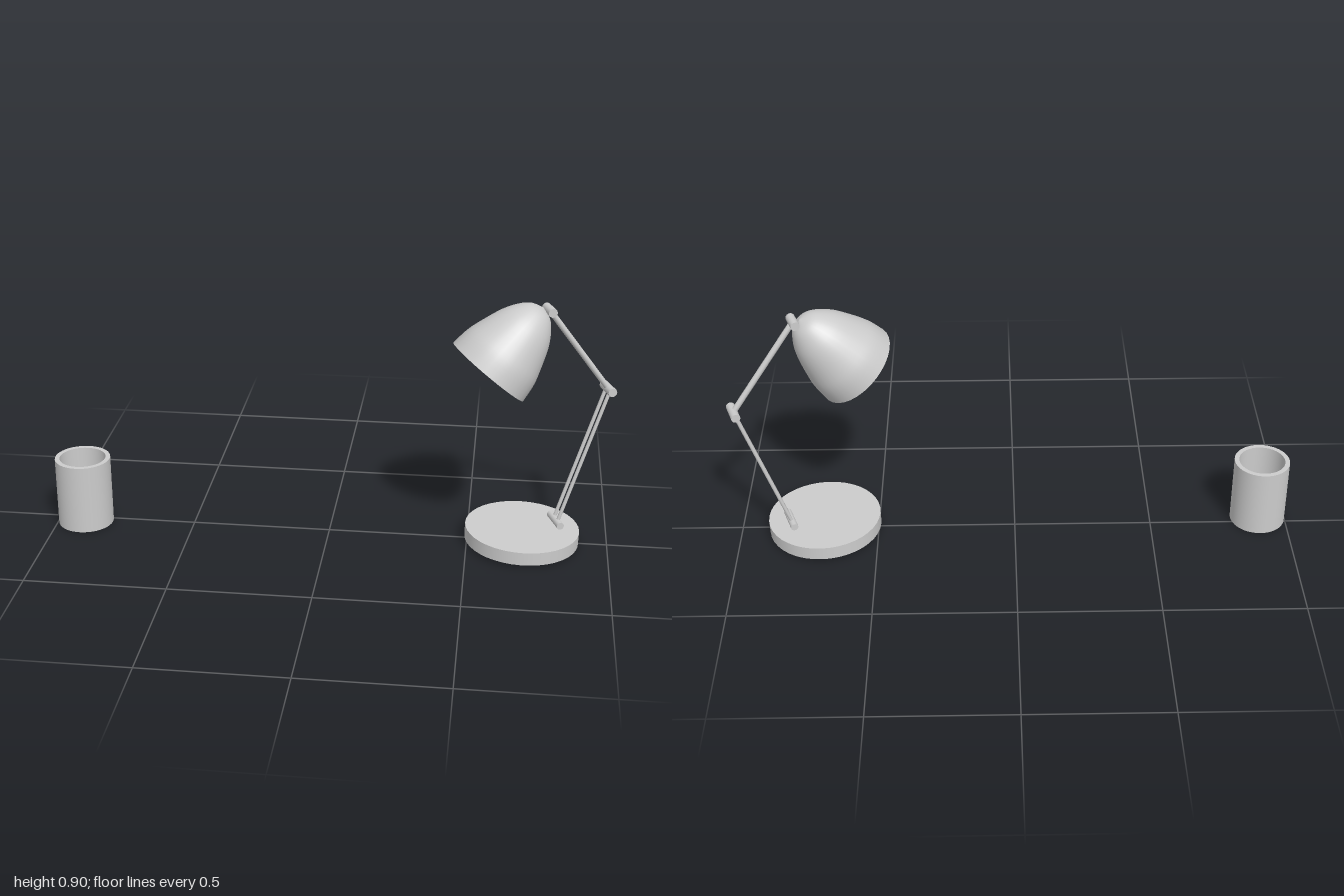
import * as THREE from 'three';

const solid = new THREE.MeshStandardMaterial({ color: 0xcccccc });
const thin = new THREE.MeshStandardMaterial({ color: 0xcccccc, side: THREE.DoubleSide });
const UP = new THREE.Vector3(0, 1, 0);
const V = (x, y, z) => new THREE.Vector3(x, y, z);

function add(parent, name, geometry, material) {
  const mesh = new THREE.Mesh(geometry, material);
  mesh.name = name;
  parent.add(mesh);
  return mesh;
}

// Round bar between two points
function rod(parent, name, a, b, radius, sides = 16) {
  const dir = b.clone().sub(a);
  const mesh = add(parent, name, new THREE.CylinderGeometry(radius, radius, dir.length(), sides), solid);
  mesh.position.copy(a).add(b).multiplyScalar(0.5);
  mesh.quaternion.setFromUnitVectors(UP, dir.normalize());
  return mesh;
}

// Flat horizontal disc
function disc(parent, name, radius, sides, y, turn = 0) {
  const mesh = add(parent, name, new THREE.CircleGeometry(radius, sides, turn).rotateX(-Math.PI / 2), thin);
  mesh.position.y = y;
  return mesh;
}

function createLamp() {
  const lamp = new THREE.Group();
  lamp.name = 'deskLamp';

  // Hollow base, slightly tilted
  const base = new THREE.Group();
  base.name = 'base';
  base.position.set(0.695, 0.008, 0);
  base.rotation.z = -0.028;
  lamp.add(base);
  const wall = new THREE.CylinderGeometry(0.204, 0.204, 0.048, 40, 1, true).translate(0, 0.024, 0);
  add(base, 'baseWall', wall, thin);
  disc(base, 'baseTop', 0.204, 40, 0.048);

  // Hinge pins, all along one sideways axis
  const axis = V(0.34, 0, 0.94).normalize();
  const along = (p, s) => p.clone().addScaledVector(axis, s);
  const foot = V(0.815, 0.067, -0.043);
  const elbow = V(0.972, 0.567, -0.093);
  const neck = V(0.752, 0.877, -0.012);
  const pin = (name, p, half, radius) => rod(lamp, name, along(p, -half), along(p, half), radius);
  pin('footHinge', foot, 0.051, 0.0135);
  pin('elbowHinge', elbow, 0.042, 0.016);
  pin('neckHinge', neck, 0.034, 0.016);

  // Paired lower arm and single upper arm
  for (const s of [-0.017, 0.017]) rod(lamp, 'lowerArm', along(foot, s), along(elbow, s), 0.0065, 12);
  rod(lamp, 'upperArm', elbow, neck, 0.0105, 12);

  // Bell-shaped shade, open towards the desk
  const curve = new THREE.SplineCurve([
    [0.156, 0], [0.149, 0.06], [0.135, 0.11], [0.103, 0.195],
    [0.07, 0.247], [0.04, 0.275], [0, 0.288],
  ].map(([r, h]) => new THREE.Vector2(r, h)));
  const profile = curve.getPoints(20);
  profile.forEach((p) => { p.x = Math.max(p.x, 0); });
  const shade = add(lamp, 'shade', new THREE.LatheGeometry(profile, 32), thin);
  shade.position.set(0.553, 0.667, 0.05);
  shade.quaternion.setFromUnitVectors(UP, V(0.61, 0.757, -0.22).normalize());
  return lamp;
}

function createCup() {
  const cup = new THREE.Group();
  cup.name = 'penCup';
  cup.position.set(-0.9, 0, 0.028);
  const height = 0.255, outer = 0.1, inner = 0.083, floor = 0.045;

  // Outer and inner walls joined by a flat rim
  const outside = new THREE.CylinderGeometry(outer, outer, height, 40, 1, true).translate(0, height / 2, 0);
  add(cup, 'cupOuterWall', outside, thin);
  const depth = height - floor;
  const inside = new THREE.CylinderGeometry(inner, inner, depth, 40, 1, true).translate(0, floor + depth / 2, 0);
  add(cup, 'cupInnerWall', inside, thin);
  const rim = new THREE.RingGeometry(inner, outer, 40).rotateX(-Math.PI / 2).translate(0, height, 0);
  add(cup, 'cupRim', rim, thin);

  // Raised eight-sided floor
  disc(cup, 'cupFloor', 0.088, 8, floor, Math.PI / 8);
  return cup;
}

export function createModel() {
  const model = new THREE.Group();
  model.name = 'deskLampAndCup';
  model.add(createLamp(), createCup());
  return model;
}
